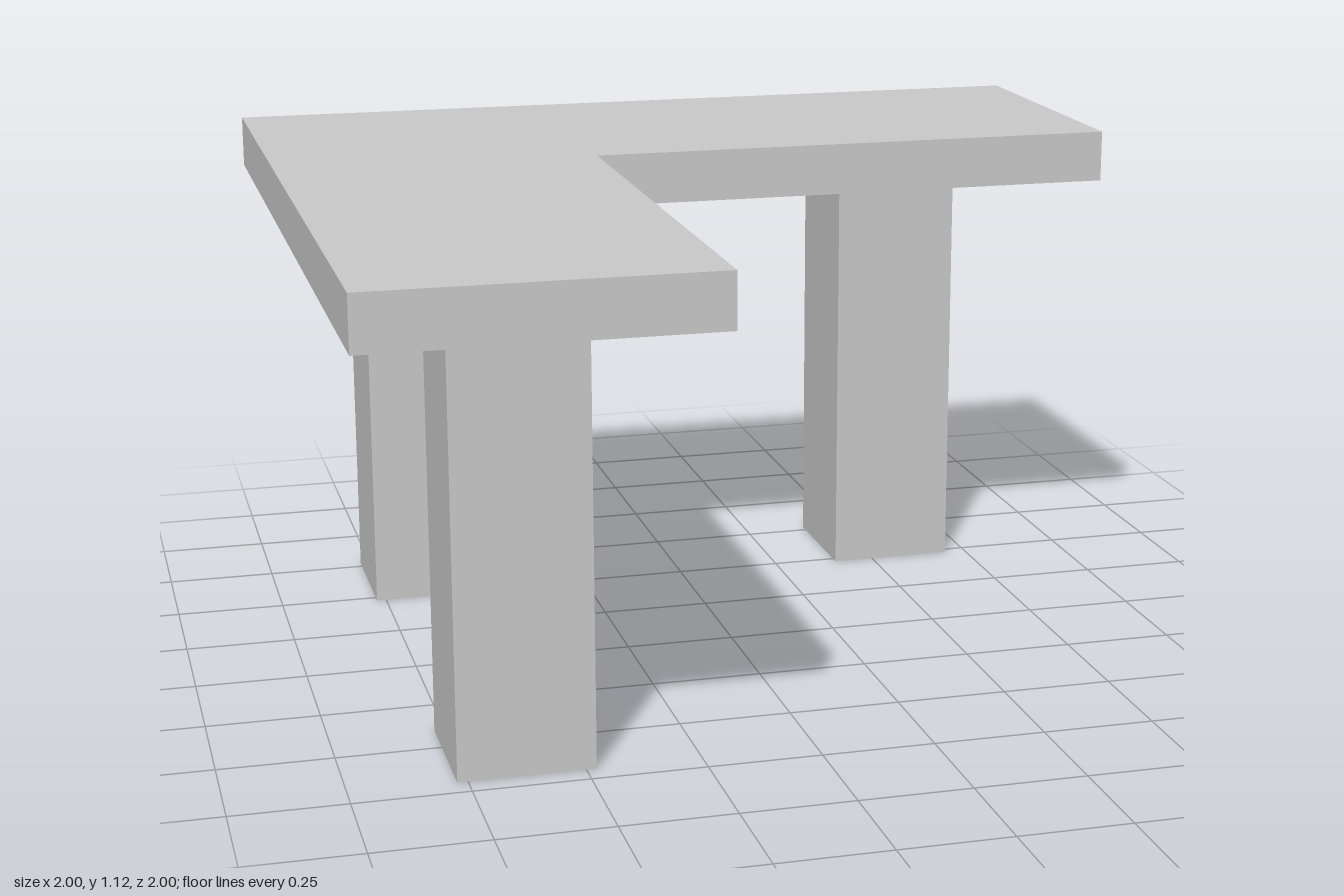
import * as THREE from 'three';

export function createModel() {
  const group = new THREE.Group();
  const material = new THREE.MeshStandardMaterial({ color: 0xcccccc, flatShading: true });
  const legHeight = 1, topThickness = 0.12, legWidth = 0.295, inner = -0.255;

  // L-shaped slab, drawn in plan (x, z) and extruded downwards
  const outline = [[-1, -1], [1, -1], [1, inner], [inner, inner], [inner, 1], [-1, 1]];
  const plan = new THREE.Shape(outline.map(([x, z]) => new THREE.Vector2(x, z)));
  const slab = new THREE.ExtrudeGeometry(plan, { depth: topThickness, bevelEnabled: false });
  slab.rotateX(Math.PI / 2).translate(0, legHeight + topThickness, 0);
  const top = new THREE.Mesh(slab, material);
  top.name = 'tableTop';
  group.add(top);

  // One square leg at the corner and one towards the end of each arm
  const legGeometry = new THREE.BoxGeometry(legWidth, legHeight, legWidth);
  const legs = { cornerLeg: [-0.625, -0.625], leftLeg: [0.55, -0.625], frontLeg: [-0.625, 0.55] };
  for (const [name, [x, z]] of Object.entries(legs)) {
    const leg = new THREE.Mesh(legGeometry, material);
    leg.name = name;
    leg.position.set(x, legHeight / 2, z);
    group.add(leg);
  }
  return group;
}
